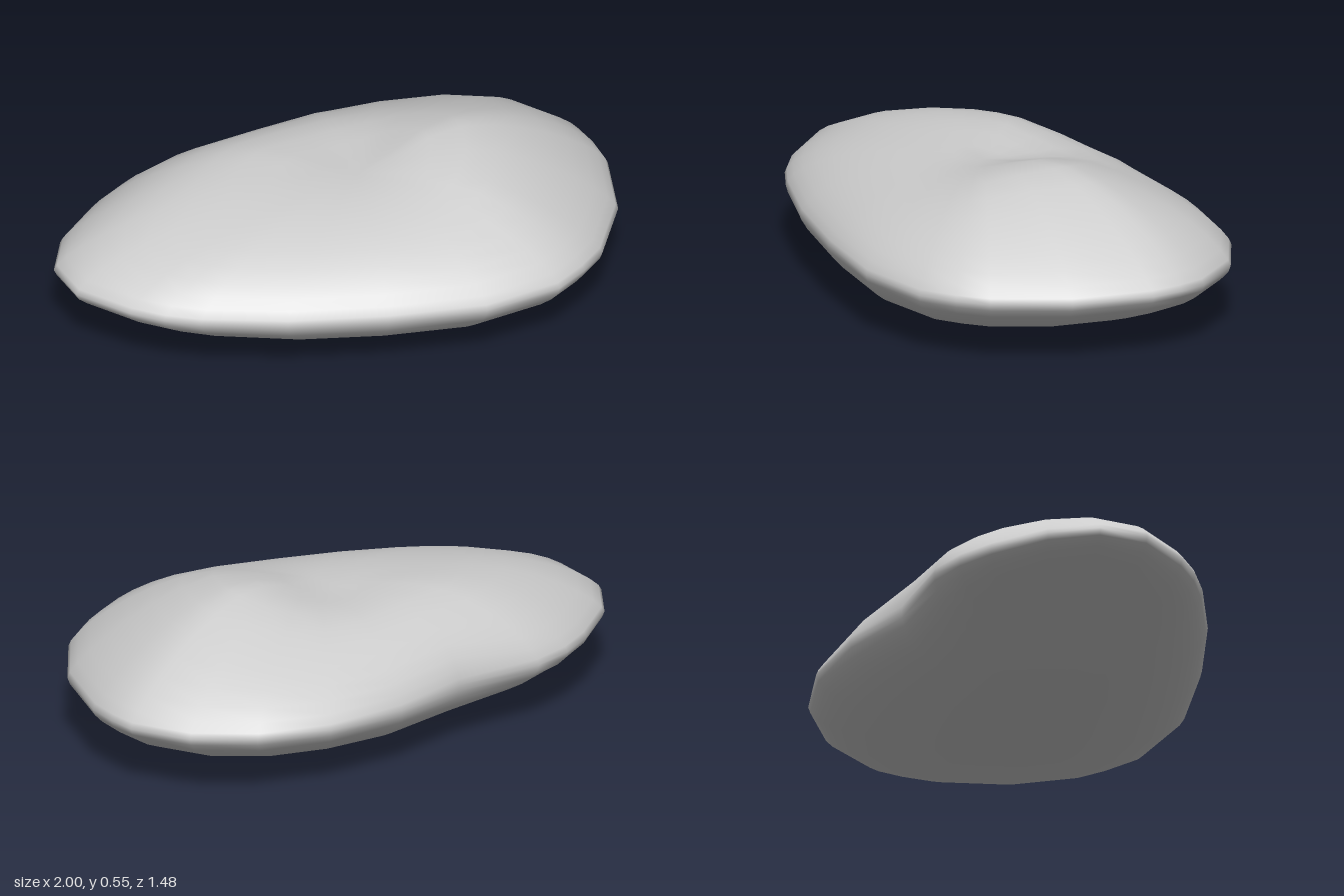
import * as THREE from 'three';
import { mergeVertices } from 'three/addons/utils/BufferGeometryUtils.js';

// Plan outline (x, z), running from the narrow end round the front to the back
const OUTLINE = [
  [-1, -0.35], [-0.94, -0.14], [-0.88, -0.03], [-0.8, 0.07], [-0.58, 0.28], [-0.3, 0.49],
  [0, 0.67], [0.28, 0.735], [0.42, 0.71], [0.54, 0.67], [0.77, 0.5], [0.94, 0.26],
  [0.98, 0.15], [1, 0.05], [0.95, -0.17], [0.81, -0.36], [0.59, -0.51], [0.3, -0.6],
  [0, -0.62], [-0.31, -0.735], [-0.46, -0.745], [-0.6, -0.72], [-0.81, -0.64], [-0.95, -0.52],
];

// Soft swelling centred on (cx, cz)
const bump = (x, z, cx, cz, sx, sz = sx) =>
  Math.exp(-0.5 * (((x - cx) / sx) ** 2 + ((z - cz) / sz) ** 2));

// Upper surface: dome, off-centre hump, back shoulder, fuller back and right, shallow dip
function topHeight(x, z, t) {
  const hump = 0.105 * bump(x, z, 0.38, 0.1, x < 0.38 ? 0.19 : 0.3, z < 0.1 ? 0.22 : 0.3);
  const shoulder = 0.045 * bump(x, z, -0.4, -0.48, 0.28, 0.2);
  const back = 0.038 * bump(x, z, 0.02, -0.38, 0.22, 0.17);
  const side = 0.02 * bump(x, z, 0.82, -0.05, 0.15, 0.25);
  const dip = 0.03 * bump(x, z, 0.1, -0.12, 0.15);
  return 0.243 * (1 - t * t) ** 0.66 + (hump + shoulder + back + side - dip) * (1 - t ** 8);
}

// Lower surface: rounded belly, thinner under the narrow end
function bellyDepth(x, z, t) {
  const hollow = 0.06 * bump(x, z, -0.62, -0.4, 0.27) + 0.02 * bump(x, z, -0.12, -0.05, 0.2);
  return 0.245 * (1 - t * t) ** 0.59 - hollow * (1 - t ** 8);
}

export function createModel() {
  const group = new THREE.Group();

  // Reshape a sphere: its rings become scaled copies of the outline
  const sides = OUTLINE.length;
  const sphere = new THREE.SphereGeometry(1, sides, 22);
  const pos = sphere.attributes.position;
  const uv = sphere.attributes.uv;
  for (let i = 0; i < pos.count; i++) {
    const v = uv.getY(i);
    const t = Math.min(1, Math.sin(v * Math.PI));
    const [ox, oz] = OUTLINE[(Math.round(uv.getX(i) * sides) + sides) % sides];
    // Inner rings bulge past the waist at the back, so it only dents the rim
    const fill = 0.12 * bump(ox, oz, 0.02, -0.63, 0.22, 0.15);
    const scale = t * (1 + fill * (1 - t ** 6));
    const x = ox * scale, z = oz * scale;
    const rim = 0.24 + 0.015 * bump(x, z, -1, -0.35, 0.3);
    const y = v >= 0.5 ? rim + topHeight(x, z, t) : rim - bellyDepth(x, z, t);
    pos.setXYZ(i, x, y, z);
  }

  // Weld the seam so the shading stays smooth all round
  sphere.deleteAttribute('uv');
  sphere.deleteAttribute('normal');
  const geometry = mergeVertices(sphere, 1e-5);
  geometry.computeBoundingBox();
  geometry.translate(0, -geometry.boundingBox.min.y, 0);
  geometry.computeVertexNormals();

  const stone = new THREE.Mesh(geometry, new THREE.MeshStandardMaterial({ color: 0xcccccc }));
  stone.name = 'stone';
  group.add(stone);
  return group;
}
